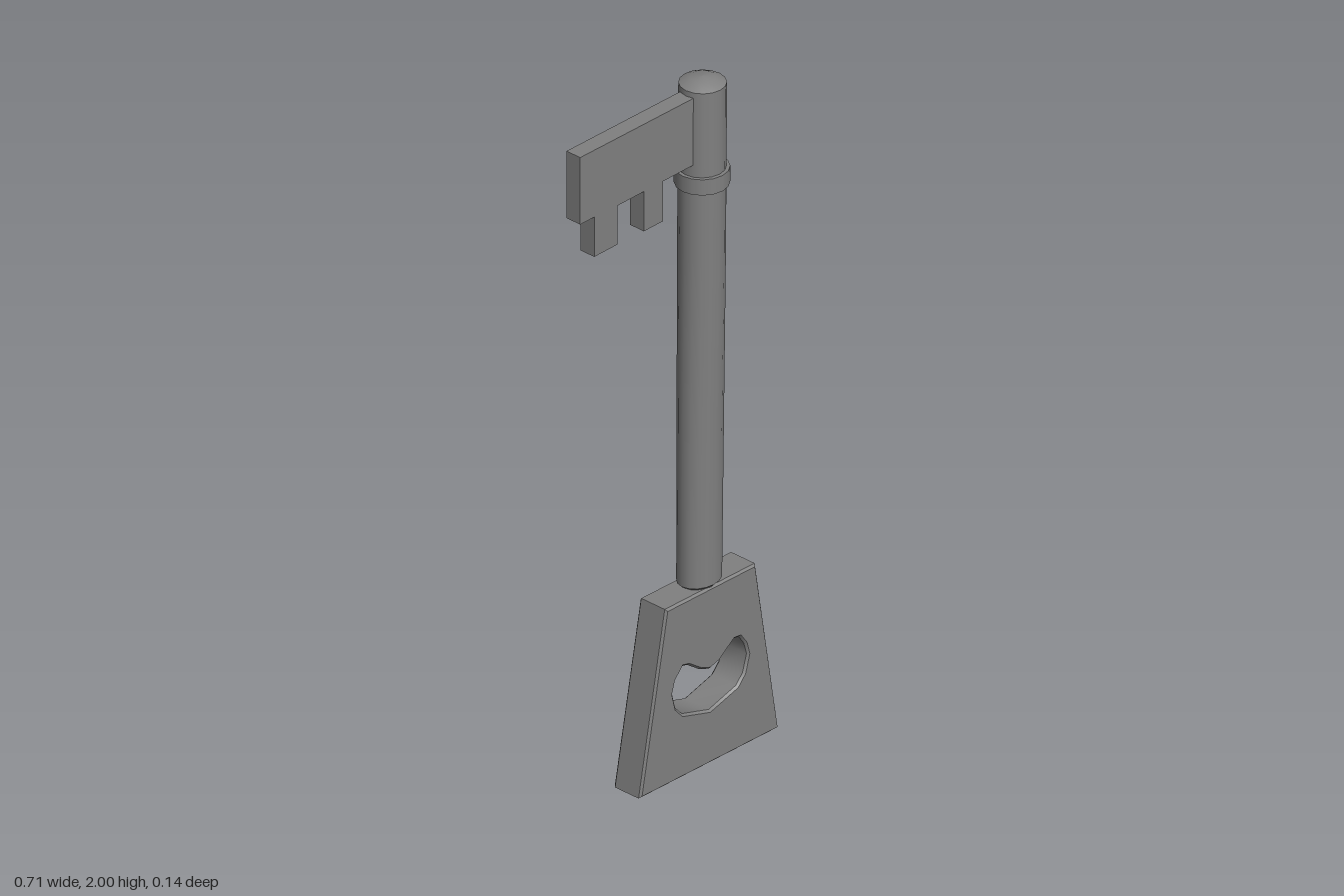
import * as THREE from 'three';
import { toCreasedNormals } from 'three/addons/utils/BufferGeometryUtils.js';

const SIDES = 16;
const points = (list) => list.map(([x, y]) => new THREE.Vector2(x, y));

// Flat plate in the xy plane, centred on z = zMid, with optional bevel
function plate(shape, depth, bevel, zMid) {
  const geometry = new THREE.ExtrudeGeometry(shape, {
    depth: depth - 2 * bevel,
    bevelEnabled: bevel > 0,
    bevelThickness: bevel,
    bevelSize: bevel,
    bevelOffset: -bevel,
    bevelSegments: 1,
    curveSegments: 4,
  });
  geometry.translate(0, 0, zMid - depth / 2 + bevel);
  return toCreasedNormals(geometry, 0.6);
}

// The shaft leans slightly: its centre line moves in x with height
const centreX = (y) => 0.106 + 0.013 * (y - 0.53) / 1.45;

export function createModel() {
  const model = new THREE.Group();
  const metal = new THREE.MeshStandardMaterial({ color: 0x808080 });
  metal.name = 'grey metal';
  const add = (name, geometry) => {
    const mesh = new THREE.Mesh(geometry, metal);
    mesh.name = name;
    model.add(mesh);
    return mesh;
  };

  // Trapezoid handle with a curved opening
  const handle = new THREE.Shape(points([[-0.16, 0.008], [0.355, 0], [0.27, 0.518], [-0.063, 0.523]]));
  handle.holes.push(new THREE.Path(points([
    [0, 0.33], [0.02, 0.325], [0.065, 0.293], [0.1, 0.28], [0.135, 0.29], [0.19, 0.33], [0.21, 0.328],
    [0.23, 0.3], [0.24, 0.265], [0.225, 0.215], [0.2, 0.188], [0.1, 0.16], [0, 0.19], [-0.025, 0.218],
    [-0.037, 0.265], [-0.027, 0.3],
  ])));
  add('handle', plate(handle, 0.094, 0.006, -0.002));

  // Leaning shaft, flattened front to back near the handle
  const shaft = new THREE.LatheGeometry(points([
    [0.048, 0.49], [0.052, 0.52], [0.065, 0.53], [0.064, 1], [0.063, 1.5], [0.062, 1.982],
  ]), SIDES);
  const position = shaft.attributes.position;
  for (let i = 0; i < position.count; i++) {
    const y = position.getY(i);
    const flatten = Math.min(1, 0.8 + 0.2 * Math.max(0, y - 0.53) / 1.1);
    position.setX(i, position.getX(i) + centreX(y));
    position.setZ(i, position.getZ(i) * flatten);
  }
  shaft.computeVertexNormals();
  add('shaft', toCreasedNormals(shaft, 0.7));

  // Low domed tip
  const cap = new THREE.LatheGeometry(points([[0.062, 1.982], [0.032, 1.997], [0, 2]]), SIDES);
  add('tip', cap).position.x = centreX(1.98);

  // Collar
  const collar = new THREE.CylinderGeometry(0.072, 0.072, 0.046, SIDES);
  add('collar', collar).position.set(centreX(1.713), 1.713, 0);

  // Bit with two teeth
  const bit = new THREE.Shape(points([
    [-0.358, 1.773], [-0.306, 1.773], [-0.306, 1.656], [-0.22, 1.656], [-0.22, 1.77], [-0.122, 1.77],
    [-0.122, 1.653], [-0.052, 1.653], [-0.052, 1.77], [0.09, 1.77], [0.09, 1.966], [-0.358, 1.97],
  ]));
  add('bit', plate(bit, 0.048, 0, -0.002));

  return model;
}
